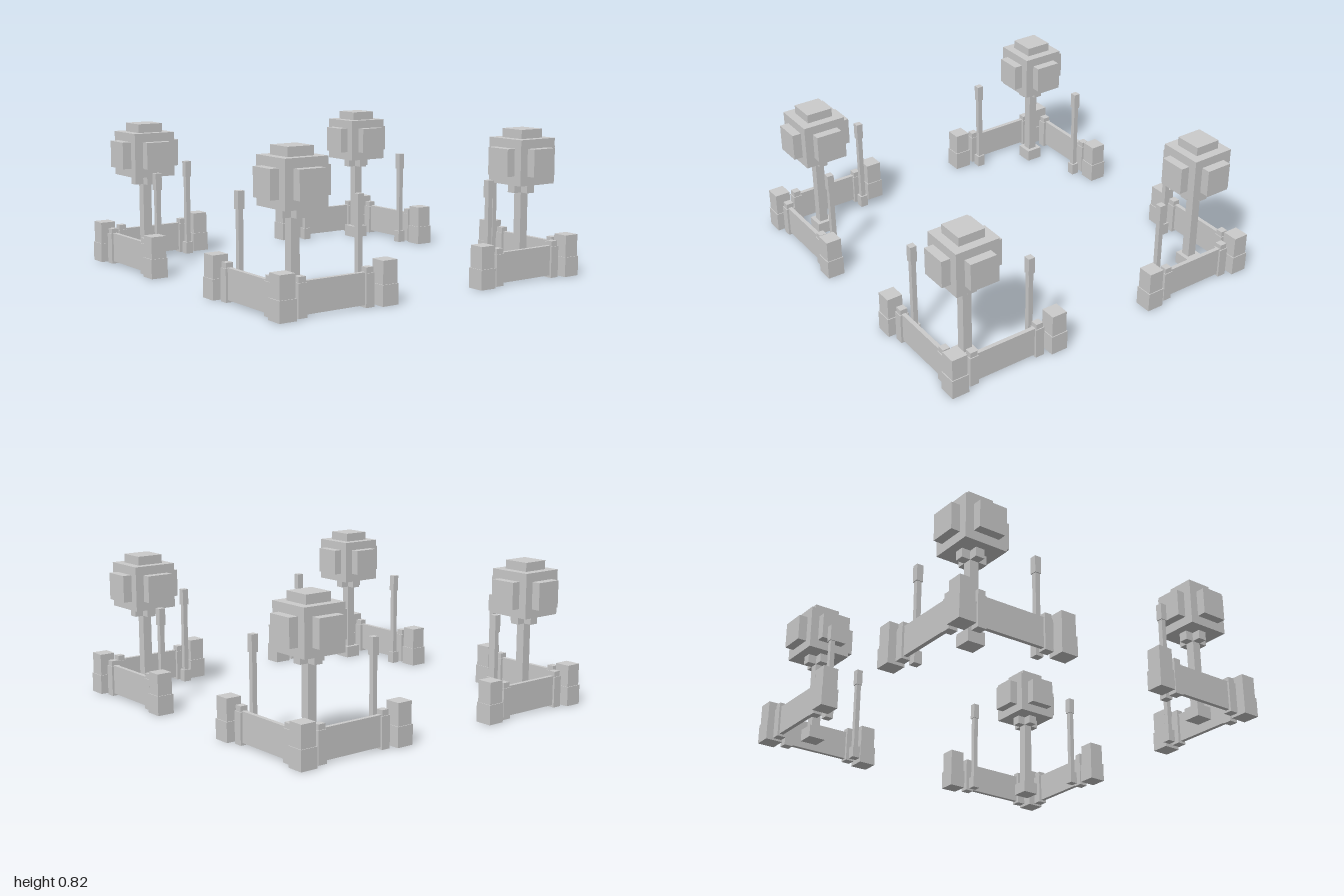
import * as THREE from 'three';

const material = new THREE.MeshStandardMaterial({ color: 0xcccccc, flatShading: true });

// Box given by its centre in x and z, its bottom and top, and its width and depth
function box(parent, name, x, z, y0, y1, w, d = w) {
  const mesh = new THREE.Mesh(new THREE.BoxGeometry(w, y1 - y0, d), material);
  mesh.name = name;
  mesh.position.set(x, (y0 + y1) / 2, z);
  parent.add(mesh);
}

// Thick post: a base block with a slightly narrower cap
function post(parent, name, x, z) {
  box(parent, name + 'Base', x, z, 0, 0.11, 0.1);
  box(parent, name + 'Cap', x, z, 0.11, 0.233, 0.09);
}

// One wall running along x at the front, with clamps, end post and slim torch
function wallArm() {
  const arm = new THREE.Group();
  arm.name = 'wallArm';
  post(arm, 'endPost', 0.33, 0.948);
  box(arm, 'wallPanel', 0.645, 0.947, 0.013, 0.18, 0.41, 0.024);
  for (const x of [0.438, 0.846]) {
    box(arm, 'clampLower', x, 0.945, 0, 0.175, 0.052);
    box(arm, 'clampUpper', x, 0.945, 0.175, 0.205, 0.042);
  }
  box(arm, 'torchFoot', 0.437, 0.87, 0, 0.07, 0.046);
  box(arm, 'torchRod', 0.437, 0.87, 0.07, 0.47, 0.028);
  box(arm, 'torchHead', 0.437, 0.87, 0.47, 0.565, 0.038);
  return arm;
}

// Lamp: pole with a cross collar and a cube with raised plates
function lamp() {
  const group = new THREE.Group();
  group.name = 'lamp';
  group.position.set(0.771, 0, 0.771);
  box(group, 'lampFoot', 0, 0, 0, 0.07, 0.1);
  box(group, 'lampPole', 0, 0, 0.07, 0.516, 0.052);
  box(group, 'lampCube', 0, 0, 0.516, 0.77, 0.254);
  box(group, 'topPlate', 0, 0, 0.77, 0.82, 0.154);
  for (const s of [-1, 1]) {
    box(group, 'sidePlate', s * 0.153, 0, 0.567, 0.72, 0.052, 0.154);
    box(group, 'facePlate', 0, s * 0.153, 0.567, 0.72, 0.154, 0.052);
    box(group, 'collarArm', s * 0.051, 0, 0.465, 0.516, 0.05, 0.052);
    box(group, 'collarArm', 0, s * 0.051, 0.465, 0.516, 0.052, 0.05);
  }
  return group;
}

export function createModel() {
  const model = new THREE.Group();
  model.name = 'cornerLampFence';
  // The same corner repeats by quarter turns
  for (let i = 0; i < 4; i++) {
    const corner = new THREE.Group();
    corner.name = 'corner' + (i + 1);
    post(corner, 'cornerPost', 0.95, 0.95);
    corner.add(lamp());
    corner.add(wallArm());
    // Second wall is the first one mirrored across the diagonal: turn it, then shift its facing
    const side = wallArm();
    side.name = 'sideWallArm';
    for (const part of side.children) {
      const { x, y, z } = part.position;
      part.position.set(z, y, x);
      part.rotation.y = Math.PI / 2;
    }
    corner.add(side);
    corner.rotation.y = (i * Math.PI) / 2;
    model.add(corner);
  }
  return model;
}
